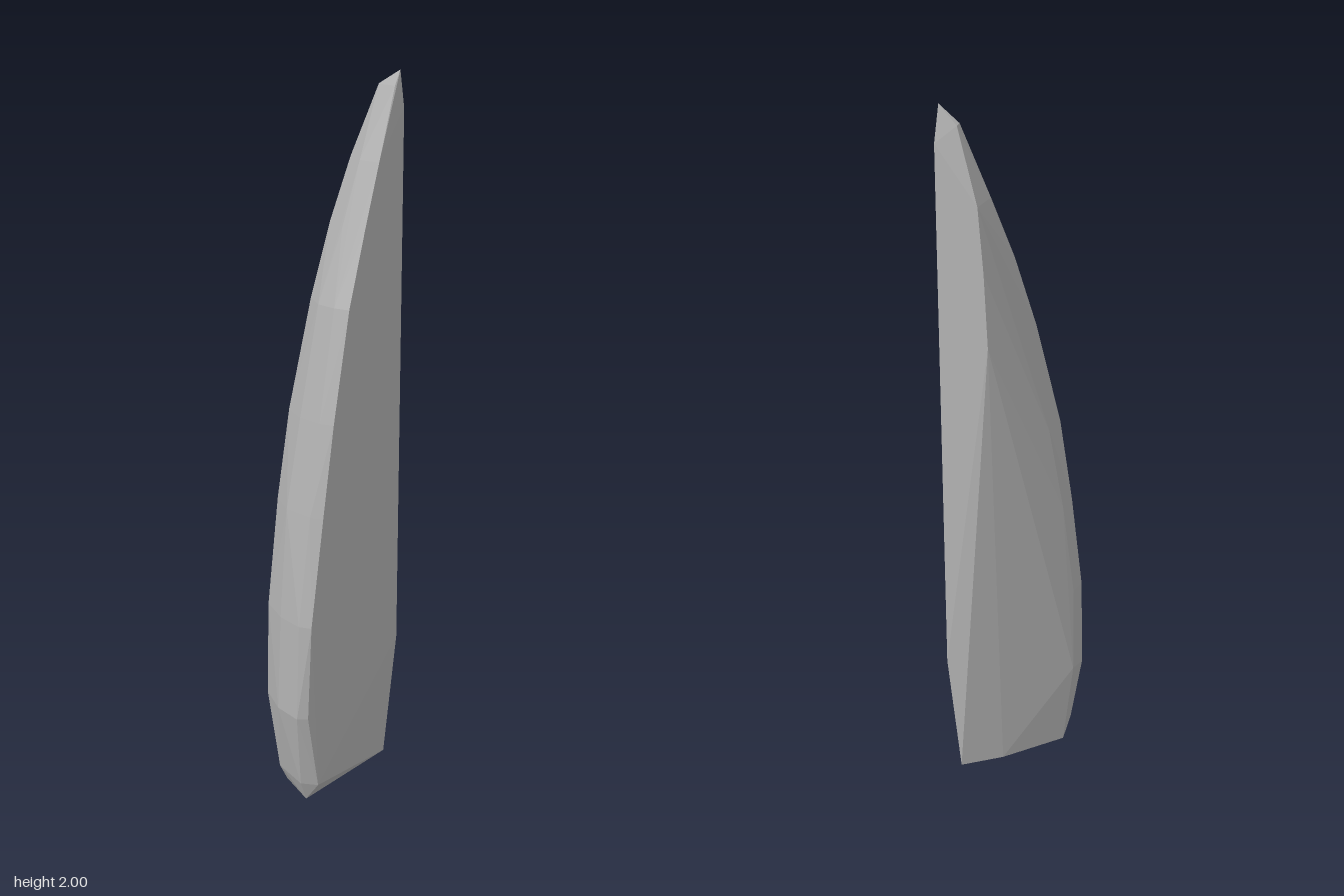
import * as THREE from 'three';
import { ConvexGeometry } from 'three/addons/geometries/ConvexGeometry.js';

// Horizontal slices of the shard: height, then x, z corner pairs
const slices = [
  [0, 0.2, 0.08, 0.09, 0.015, -0.1, -0.055, -0.165, 0.06],
  [0.06, -0.17, 0.105, -0.19, 0.06, -0.14, -0.05],
  [0.28, -0.21, 0.1, -0.228, 0.075, -0.2, -0.01, -0.135, -0.095, -0.09, -0.1],
  [0.37, 0.224, 0.105],
  [0.55, -0.2, 0.105, -0.21, 0.07, -0.185, -0.01, -0.13, -0.093, -0.08, -0.106],
  [0.85, -0.145, 0.105, -0.157, 0.07, -0.14, -0.02, -0.08, -0.095, -0.03, -0.106],
  [1.1, -0.097, 0.105, -0.106, 0.065, -0.09, -0.01, -0.045, -0.08, 0.02, -0.098],
  [1.4, -0.027, 0.105, -0.032, 0.06, -0.02, 0.0, 0.03, -0.06, 0.225, -0.07],
  [1.6, 0.044, 0.105, 0.048, 0.03, 0.09, -0.04, 0.225, -0.058],
  [1.77, 0.108, 0.105, 0.113, 0.04, 0.15, -0.015, 0.225, -0.04],
  [1.9, 0.225, 0.105],
  [1.96, 0.19, 0.098, 0.2, 0.04, 0.22, 0.03],
  [2, 0.212, 0.1],
];

export function createModel() {
  const group = new THREE.Group();
  group.name = 'stoneShard';

  const points = [];
  for (const [y, ...corners] of slices) {
    for (let i = 0; i < corners.length; i += 2) {
      points.push(new THREE.Vector3(corners[i], y, corners[i + 1]));
    }
  }

  // Faceted stone body
  const stone = new THREE.MeshStandardMaterial({ color: 0xb0b0b0 });
  stone.name = 'stone grey';
  const body = new THREE.Mesh(new ConvexGeometry(points), stone);
  body.name = 'shardBody';
  group.add(body);
  return group;
}
